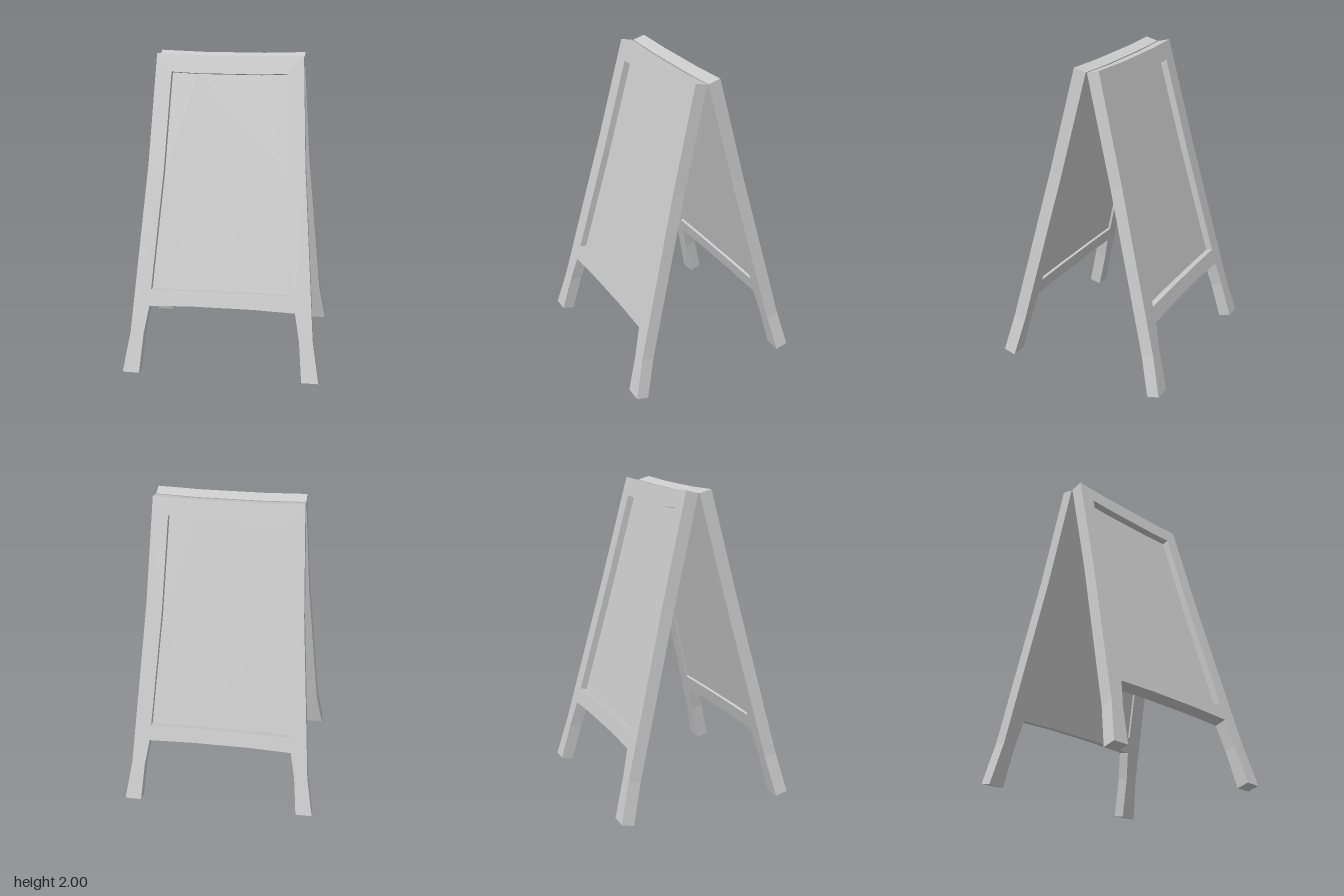
import * as THREE from 'three';

const TILT = Math.atan(0.253);
const FOOT = 0.021; // height of the outer foot edge
const THICK = 0.082;
const material = new THREE.MeshStandardMaterial({ color: 0xcccccc, flatShading: true });

// Half outline [x, height], mirrored to a closed loop in the tilted board plane
function loop(half) {
  const mirrored = half.map(([x, y]) => [-x, y]).reverse();
  return [...half, ...mirrored].map(([x, y]) => new THREE.Vector2(x, (y - FOOT) / Math.cos(TILT)));
}

// Slab whose outer face lies at local z = front
function slab(name, shape, front, depth) {
  const geometry = new THREE.ExtrudeGeometry(shape, { depth, bevelEnabled: false });
  geometry.translate(0, 0, front - depth);
  const mesh = new THREE.Mesh(geometry, material);
  mesh.name = name;
  return mesh;
}

function createBoard(name) {
  const board = new THREE.Group();
  board.name = name;

  // Flared legs with rails at the top and below the opening
  const outline = new THREE.Shape(loop([
    [0.2, 0.452], [0.465, 0.443], [0.497, 0.27], [0.52, FOOT],
    [0.627, FOOT], [0.582, 0.28], [0.497, 1.33], [0.463, 2], [0.2, 1.991],
  ]));
  const opening = loop([
    [0.2, 0.55], [0.457, 0.546], [0.398, 1.28], [0.367, 1.888], [0.2, 1.881],
  ]);
  outline.holes.push(new THREE.Path(opening));
  board.add(slab('frame', outline, 0, THICK));

  // Writing panel set back in the opening
  board.add(slab('panel', new THREE.Shape(opening), -0.045, 0.02));

  board.rotation.x = -TILT;
  board.position.set(0, FOOT, 0.584);
  return board;
}

export function createModel() {
  const model = new THREE.Group();
  model.name = 'sandwichBoard';
  model.add(createBoard('frontBoard'));

  // Rear leaf is the front one turned around
  const rear = new THREE.Group();
  rear.name = 'rearLeaf';
  rear.add(createBoard('rearBoard'));
  rear.rotation.y = Math.PI;
  model.add(rear);
  return model;
}
